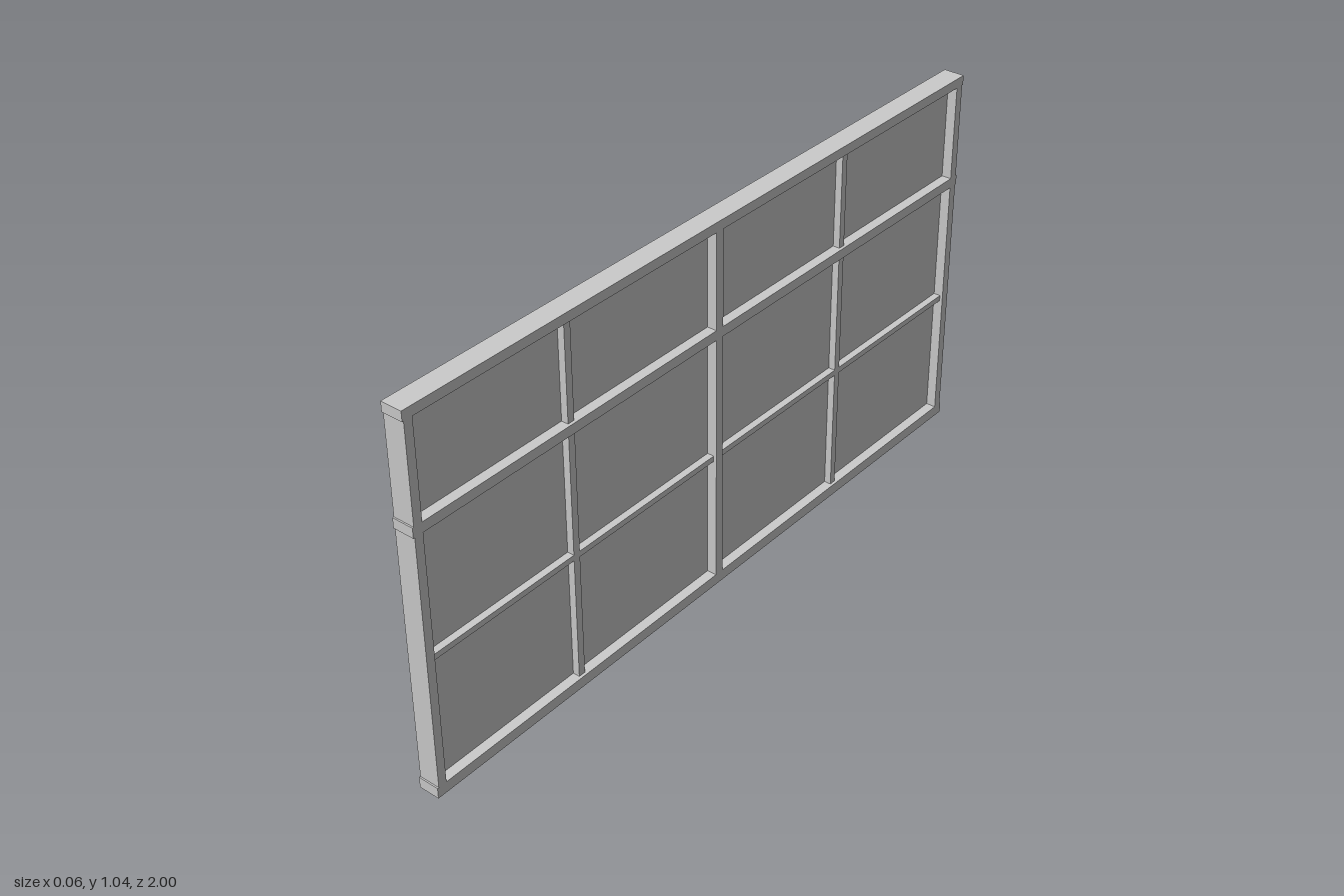
import * as THREE from 'three';

const material = new THREE.MeshStandardMaterial({ color: 0xcccccc, flatShading: true });

// Box given by its limits on each axis
function bar(name, [x0, x1], [y0, y1], [z0, z1]) {
  const mesh = new THREE.Mesh(new THREE.BoxGeometry(x1 - x0, y1 - y0, z1 - z0), material);
  mesh.position.set((x0 + x1) / 2, (y0 + y1) / 2, (z0 + z1) / 2);
  mesh.name = name;
  return mesh;
}

export function createModel() {
  const group = new THREE.Group();
  group.name = 'panelledFrame';

  const frameX = [-0.029, 0.029];
  const battenX = [-0.023, 0.021];
  const panelX = [-0.017, 0.002];
  const rails = { bottomRail: [0, 0.03], middleRail: [0.724, 0.751], topRail: [1.011, 1.037] };
  const bays = { lower: [0.03, 0.724], upper: [0.751, 1.011] };
  const stiles = { endStileBack: [-0.996, -0.972], centreStile: [-0.012, 0.013], endStileFront: [0.972, 0.996] };
  const halves = { Back: [-0.972, -0.012], Front: [0.013, 0.972] };
  const battens = { Back: [-0.504, -0.485], Front: [0.5, 0.52] };
  const lowBatten = [0.375, 0.391];

  // Full-length rails, reaching slightly past the end stiles
  for (const [name, y] of Object.entries(rails)) group.add(bar(name, frameX, y, [-1, 1]));

  for (const [bay, y] of Object.entries(bays)) {
    // Stiles between the rails
    for (const [name, z] of Object.entries(stiles)) group.add(bar(`${bay}_${name}`, frameX, y, z));

    for (const [half, z] of Object.entries(halves)) {
      // Recessed panel and its thinner upright batten
      group.add(bar(`${bay}Panel${half}`, panelX, y, z));
      group.add(bar(`${bay}Batten${half}`, battenX, y, battens[half]));

      // Thin cross batten in the lower bay, either side of the upright
      if (bay === 'lower') {
        const [b0, b1] = battens[half];
        group.add(bar(`crossBatten${half}A`, battenX, lowBatten, [z[0], b0]));
        group.add(bar(`crossBatten${half}B`, battenX, lowBatten, [b1, z[1]]));
      }
    }
  }
  return group;
}
